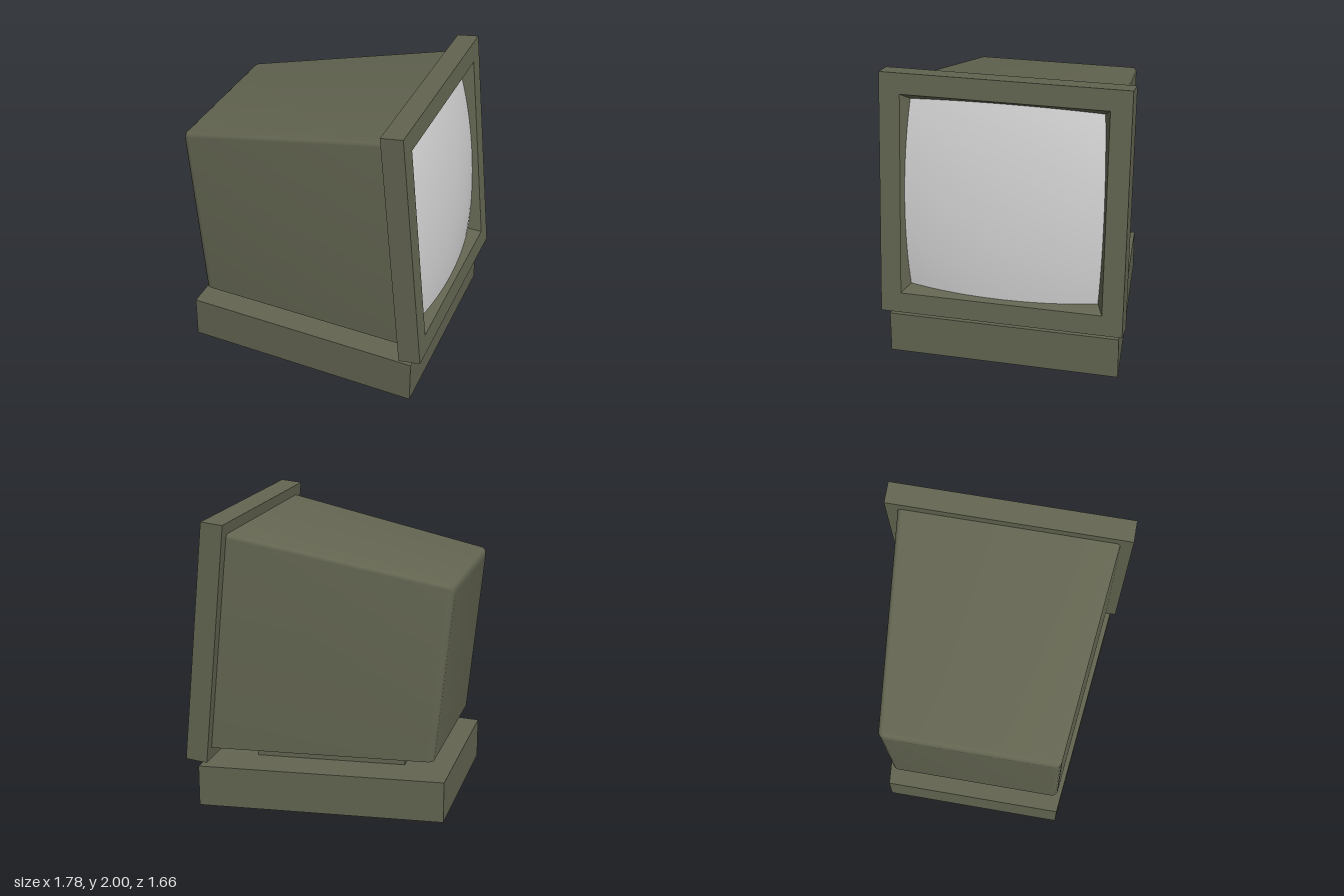
import * as THREE from 'three';
import { toCreasedNormals } from 'three/addons/utils/BufferGeometryUtils.js';

const TILT = 0.0965;

// Skin a list of rings running towards +x; each ring turns from +y to +z.
function loft(rings, capEnd) {
  const pos = [];
  const tri = (a, b, c) => pos.push(...a, ...b, ...c);
  const n = rings[0].length;
  for (let i = 0; i < rings.length - 1; i++) {
    for (let j = 0; j < n; j++) {
      const k = (j + 1) % n;
      const a = rings[i][j], b = rings[i][k], c = rings[i + 1][k], d = rings[i + 1][j];
      tri(a, b, c);
      tri(a, c, d);
    }
  }
  const first = rings[0], last = rings[rings.length - 1];
  for (let j = 1; j < n - 1; j++) {
    tri(first[0], first[j + 1], first[j]);
    if (capEnd) tri(last[0], last[j], last[j + 1]);
  }
  const geo = new THREE.BufferGeometry();
  geo.setAttribute('position', new THREE.Float32BufferAttribute(pos, 3));
  return toCreasedNormals(geo, 0.5);
}

// Upright rectangular ring
const rect = (x, y0, y1, w) => [[x, y1, -w], [x, y1, w], [x, y0, w], [x, y0, -w]];

// Leaning ring with rounded upper corners, used for the housing
function housingRing(x0, w, top, r = 0.03, bottom = 0.415) {
  const pts = [];
  const add = (y, z) => pts.push([x0 - TILT * (y - bottom), y, z]);
  for (const side of [-1, 1]) {
    for (let i = 0; i <= 4; i++) {
      const a = (side < 0 ? i : 4 - i) * Math.PI / 8;
      add(top - r + r * Math.sin(a), side * (w - r + r * Math.cos(a)));
    }
  }
  add(bottom, w + 0.01);
  add(bottom, -w - 0.01);
  return pts;
}

export function createModel() {
  const model = new THREE.Group();
  model.name = 'monitor';
  const olive = new THREE.MeshStandardMaterial({ color: 0x636551 });
  olive.name = 'olive plastic';
  const glass = new THREE.MeshStandardMaterial({ color: 0xd3d3d3 });
  glass.name = 'pale screen';

  const add = (name, geo, mat, parent = model) => {
    const mesh = new THREE.Mesh(geo, mat);
    mesh.name = name;
    parent.add(mesh);
    return mesh;
  };

  // Tapered foot and swivel neck
  add('base', loft([rect(-0.865, 0, 0.287, 0.627), rect(0.815, 0, 0.287, 0.797)], true), olive);
  add('neck', loft([rect(-0.54, 0.28, 0.42, 0.39), rect(0.49, 0.28, 0.42, 0.49)], true), olive);

  // Tapered housing with softened rear edges
  const R = 0.045, rings = [];
  for (let i = 4; i >= 0; i--) {
    const a = i * Math.PI / 8;
    const inset = R * (1 - Math.cos(a));
    rings.push(housingRing(-0.782 + R * (1 - Math.sin(a)), 0.602 - inset, 1.63 - inset));
  }
  rings.push(housingRing(0.765, 0.75, 1.915));
  add('housing', loft(rings, true), olive);

  // Tilted front: bezel with sloping inner walls, origin at the centre of its face
  const front = new THREE.Group();
  front.name = 'front';
  front.position.set(0.81, 1.1725, 0);
  front.rotation.z = TILT;
  model.add(front);
  const square = (x, s) => rect(x, -s, s, s);
  add('bezel', loft([square(-0.151, 0.83), square(0, 0.83), square(0, 0.69), square(-0.12, 0.63)], false), olive, front);

  // Bulging screen whose rim follows the sloping walls
  const screen = new THREE.PlaneGeometry(2, 2, 24, 24).rotateY(Math.PI / 2);
  const p = screen.attributes.position;
  for (let i = 0; i < p.count; i++) {
    const v = p.getY(i), u = p.getZ(i);
    const depth = 0.014 - 0.052 * (u * u + v * v);
    const s = 0.69 + 0.5 * depth;
    p.setXYZ(i, depth, v * s, u * s);
  }
  screen.computeVertexNormals();
  add('screen', screen, glass, front);

  return model;
}
